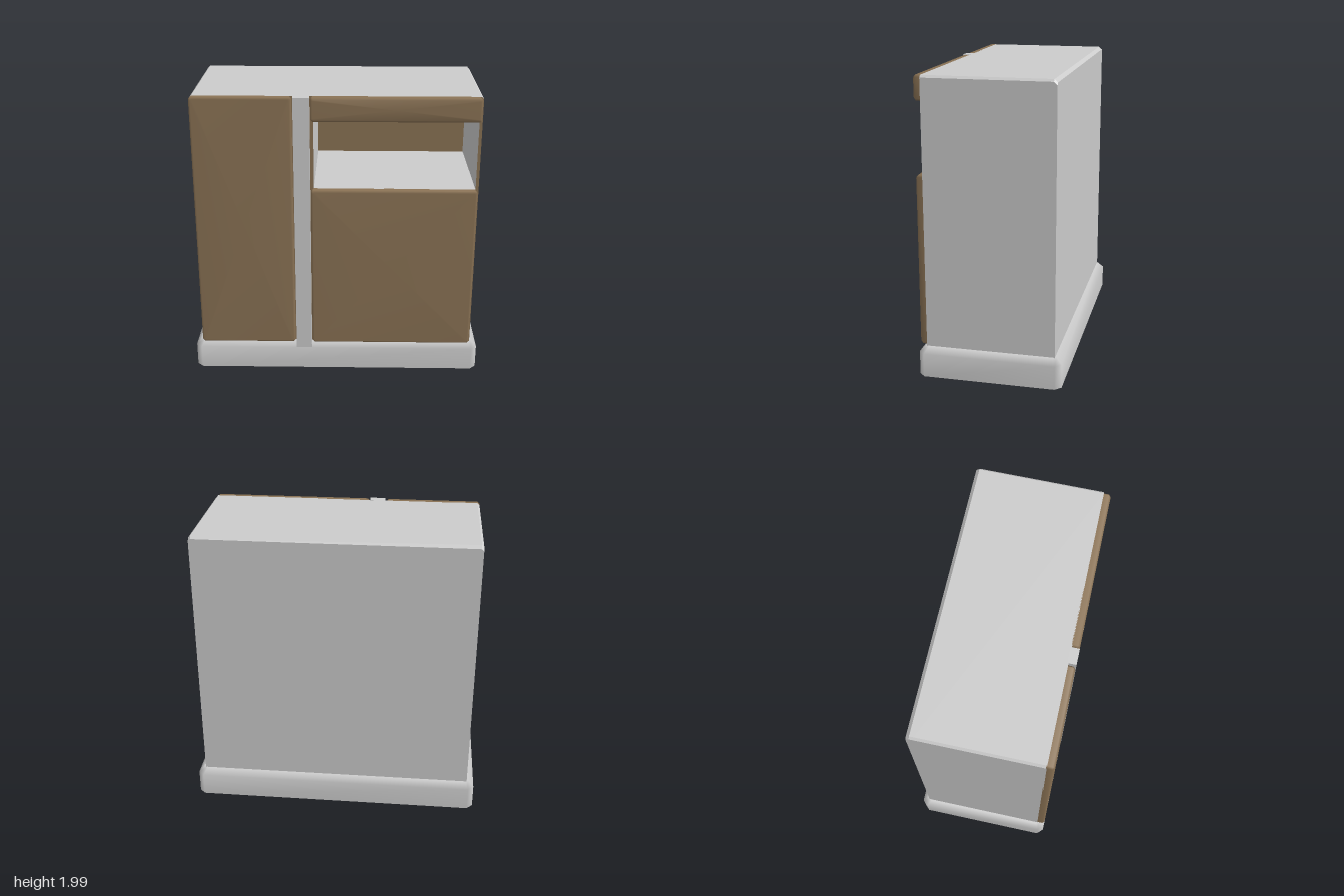
import * as THREE from 'three';

// Rectangle outline with cut corners, counter-clockwise
function cutRect(x0, x1, y0, y1, c) {
  return [[x0 + c, y0], [x1 - c, y0], [x1, y0 + c], [x1, y1 - c],
    [x1 - c, y1], [x0 + c, y1], [x0, y1 - c], [x0, y0 + c]];
}

// Cabinet outline: square at the floor, cut corners at the top
function bodyOutline(top, c) {
  return [[-0.95, 0.19], [0.95, 0.19], [0.95, top - c], [0.95 - c, top],
    [-0.95 + c, top], [-0.95, top - c]];
}

// Joins outlines at rising z and closes both ends; the first end stays sharp
function loft(rings) {
  const pos = [], idx = [], n = rings[0].pts.length;
  const add = ({ pts, z }) => pts.forEach(([x, y]) => pos.push(x, y, z));
  const cap = (start, { pts, z }, flip) => {
    const mid = pos.length / 3;
    const xs = pts.map(p => p[0]), ys = pts.map(p => p[1]);
    pos.push((Math.min(...xs) + Math.max(...xs)) / 2, (Math.min(...ys) + Math.max(...ys)) / 2, z);
    for (let i = 0; i < n; i++) {
      const a = start + i, b = start + (i + 1) % n;
      idx.push(mid, flip ? b : a, flip ? a : b);
    }
  };
  rings.forEach(add);
  for (let k = 0; k < rings.length - 1; k++) {
    for (let i = 0; i < n; i++) {
      const a = k * n + i, b = k * n + (i + 1) % n;
      idx.push(a, b, b + n, a, b + n, a + n);
    }
  }
  cap((rings.length - 1) * n, rings[rings.length - 1], false);
  const start = pos.length / 3;
  add(rings[0]);
  cap(start, rings[0], true);
  const g = new THREE.BufferGeometry();
  g.setAttribute('position', new THREE.Float32BufferAttribute(pos, 3));
  g.setIndex(idx);
  g.computeVertexNormals();
  return g;
}

// Slab whose far face has a bevelled rim
function bevelSlab(x0, x1, y0, y1, z0, z1, c, corner = c) {
  return loft([
    { pts: cutRect(x0, x1, y0, y1, corner), z: z0 },
    { pts: cutRect(x0, x1, y0, y1, corner), z: z1 - c },
    { pts: cutRect(x0 + c, x1 - c, y0 + c, y1 - c, corner * 0.6), z: z1 },
  ]);
}

export function createModel() {
  const model = new THREE.Group();
  model.name = 'cabinet';
  const grey = new THREE.MeshStandardMaterial({ color: 0xcccccc });
  grey.name = 'light grey';
  const brown = new THREE.MeshStandardMaterial({ color: 0x8b7355 });
  brown.name = 'wood brown';
  const add = (name, geometry, material) => {
    const mesh = new THREE.Mesh(geometry, material);
    mesh.name = name;
    model.add(mesh);
    return mesh;
  };

  // Plinth with bevelled top rim and corners
  add('plinth', bevelSlab(-1, 1, -0.478, 0.478, 0, 0.2, 0.04).rotateX(-Math.PI / 2), grey);

  // Body with the open niche: brown front face, grey walls
  const top = 1.99, nicheBack = -0.38;
  const front = new THREE.Shape(bodyOutline(top, 0.015).map(p => new THREE.Vector2(...p)));
  front.holes.push(new THREE.Path(
    [[-0.15, 1.355], [-0.15, 1.82], [0.93, 1.82], [0.93, 1.355]].map(p => new THREE.Vector2(...p))));
  const shell = new THREE.ExtrudeGeometry(front, { depth: 0.43 - nicheBack, bevelEnabled: false });
  add('body', shell.translate(0, 0, nicheBack), [brown, grey]);

  // Back wall with its top edge bevelled, and the niche lining
  const back = loft([
    { pts: bodyOutline(top - 0.02, 0.015), z: -0.43 },
    { pts: bodyOutline(top, 0.015), z: -0.408 },
    { pts: bodyOutline(top, 0.015), z: nicheBack },
  ]).toNonIndexed();
  back.computeVertexNormals();
  add('backWall', back, grey);
  add('nicheLining', new THREE.BoxGeometry(1.08, 0.465, 0.006).translate(0.39, 1.5875, nicheBack + 0.003), brown);

  // Bevelled front panels: [name, x0, x1, y0, y1]
  for (const [name, x0, x1, y0, y1] of [
    ['tallDoor', -0.95, -0.29, 0.203, 1.99],
    ['lowerDoor', -0.168, 0.94, 0.203, 1.355],
    ['topDrawer', -0.168, 0.94, 1.828, 1.99],
  ]) add(name, bevelSlab(x0, x1, y0, y1, 0.425, 0.478, 0.014), brown);

  // Upright post between the doors
  add('dividerPost', new THREE.BoxGeometry(0.108, 1.825, 0.06).translate(-0.227, 1.0785, 0.45), grey);

  return model;
}
